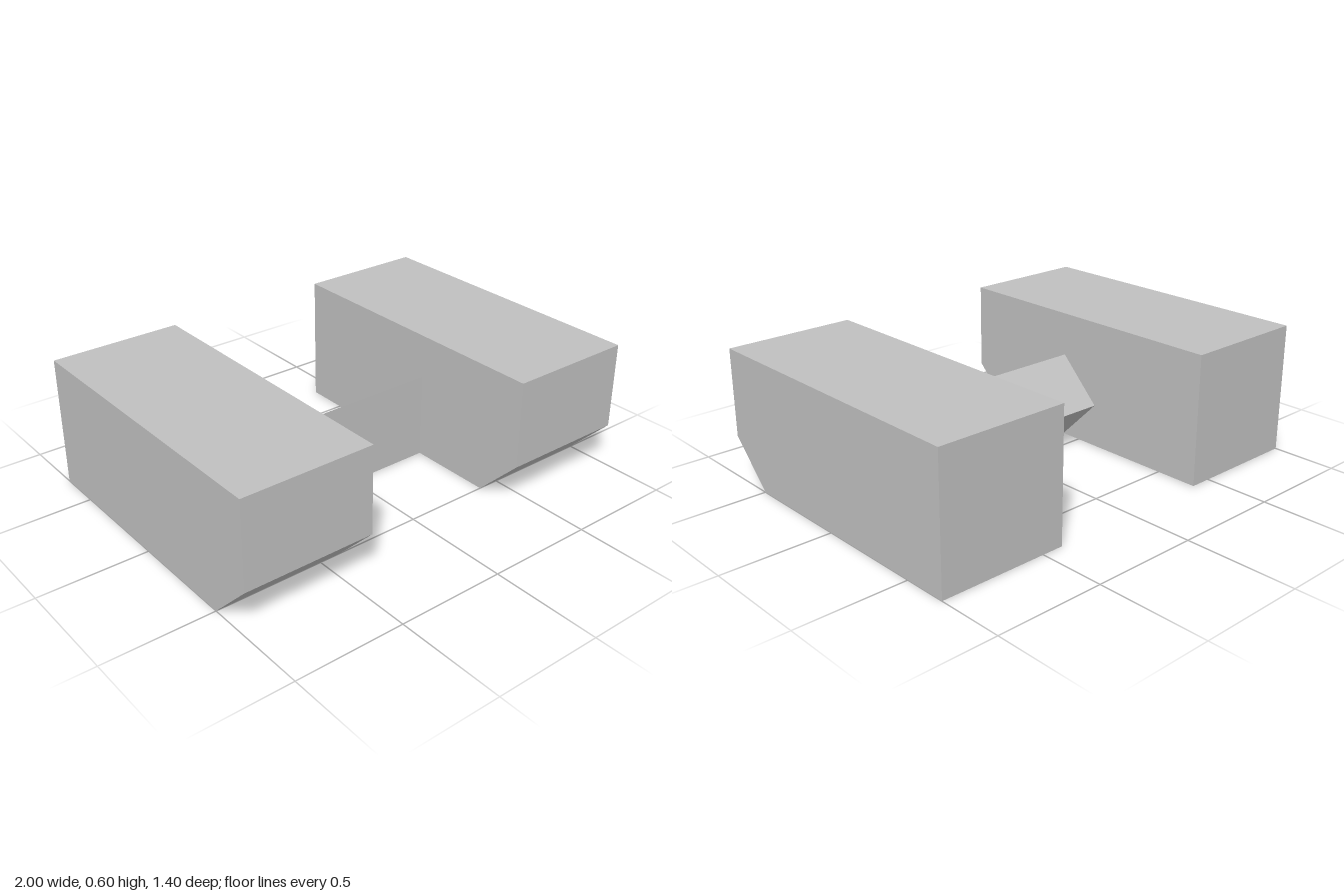
import * as THREE from 'three';

// Prism along x from a side profile of [z, y] points, centred on x = 0
function sidePrism(points, width) {
  const shape = new THREE.Shape(points.map(([z, y]) => new THREE.Vector2(z, y)));
  const geometry = new THREE.ExtrudeGeometry(shape, { depth: width, bevelEnabled: false });
  geometry.translate(0, 0, -width / 2);
  geometry.rotateY(-Math.PI / 2);
  return geometry;
}

export function createModel() {
  const model = new THREE.Group();
  model.name = 'twinBlocks';

  const grey = new THREE.MeshStandardMaterial({ color: 0xc0c0c0 });
  grey.name = 'grey';

  // Two long blocks with a chamfered lower front edge
  const blockGeometry = sidePrism(
    [[-0.7, 0], [0.5, 0], [0.7, 0.2], [0.7, 0.6], [-0.7, 0.6]], 0.6);
  for (const [name, side] of [['leftBlock', 1], ['rightBlock', -1]]) {
    const block = new THREE.Mesh(blockGeometry, grey);
    block.name = name;
    block.position.x = side * 0.7;
    model.add(block);
  }

  // Triangular bar joining the blocks, flat at the front and pointed at the back
  const bar = new THREE.Mesh(sidePrism([[0.1, 0], [0.1, 0.4], [-0.1, 0.2]], 0.8), grey);
  bar.name = 'connectingBar';
  model.add(bar);

  return model;
}
